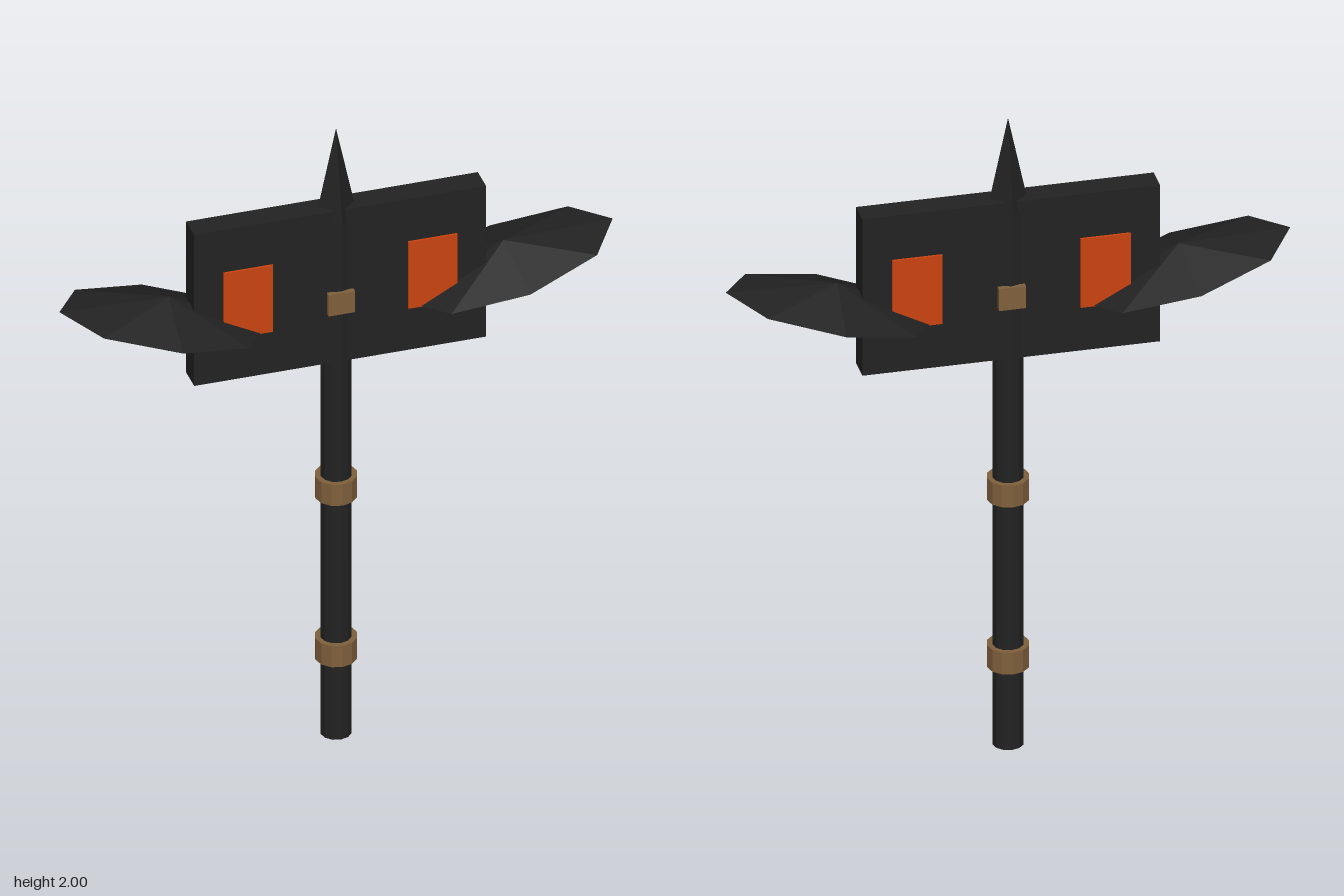
import * as THREE from 'three';

export function createModel() {
  const model = new THREE.Group();
  model.name = 'warHammer';

  const material = (name, color) => {
    const m = new THREE.MeshStandardMaterial({ color, flatShading: true });
    m.name = name;
    return m;
  };
  const iron = material('blackIron', 0x222222);
  const ember = material('emberOrange', 0xcc4410);
  const leather = material('brownLeather', 0x80603c);

  const add = (name, geometry, mat, x, y, z = 0) => {
    const mesh = new THREE.Mesh(geometry, mat);
    mesh.name = name;
    mesh.position.set(x, y, z);
    model.add(mesh);
    return mesh;
  };

  // Shaft with two grip bands
  add('shaft', new THREE.CylinderGeometry(0.045, 0.045, 1.715, 12), iron, 0, 0.8575);
  for (const [name, y] of [['lowerBand', 0.285], ['upperBand', 0.82]]) {
    add(name, new THREE.CylinderGeometry(0.061, 0.061, 0.07, 12), leather, 0, y);
  }

  // Flat head, centre clasp and four-sided top spike
  add('headPlate', new THREE.BoxGeometry(0.86, 0.5, 0.076), iron, 0, 1.5);
  add('headClasp', new THREE.BoxGeometry(0.078, 0.07, 0.108), leather, 0, 1.45);
  add('topSpike', new THREE.ConeGeometry(0.06, 0.285, 4), iron, 0, 1.8575);

  for (const side of [1, -1]) {
    const label = side > 0 ? 'left' : 'right';

    // Glowing panels on both faces of the head
    for (const face of [1, -1]) {
      add(label + (face > 0 ? 'FrontPanel' : 'BackPanel'),
        new THREE.BoxGeometry(0.145, 0.22, 0.008), ember, side * 0.272, 1.5, face * 0.041);
    }

    // Side blade: a shallow eight-sided cone, flattened and tilted outwards
    const blade = new THREE.ConeGeometry(0.314, 0.073, 8);
    blade.translate(0, 0.0365, 0);
    blade.scale(1, 1, 0.61);
    add(label + 'Blade', blade, iron, side * 0.512, 1.465).rotation.z = side * 0.259;
  }

  return model;
}
